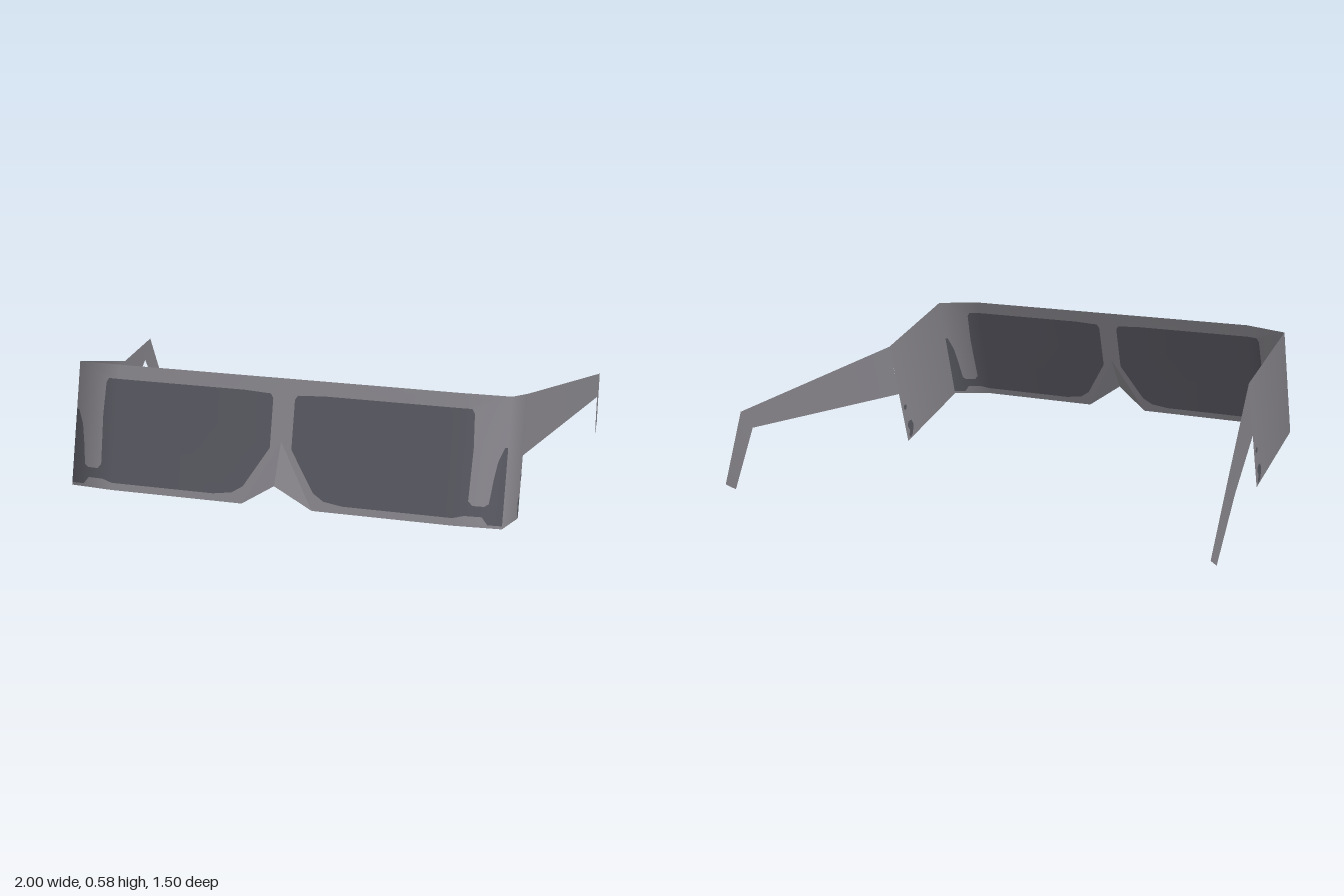
import * as THREE from 'three';

const V = (x, y, z) => new THREE.Vector3(x, y, z);
const card = new THREE.MeshStandardMaterial({ color: 0x858389, side: THREE.DoubleSide });
card.name = 'grey card';
const tint = new THREE.MeshStandardMaterial({ color: 0x56565f, side: THREE.DoubleSide });
tint.name = 'dark lens film';

// Paper-thin sheet: a flat counter-clockwise outline, placed in space and given normals by rules
function sheet(name, material, outline, place, normalAt, side) {
  const contour = outline.map(([a, b]) => new THREE.Vector2(a, b));
  const faces = THREE.ShapeUtils.triangulateShape(contour, []);
  const pos = [], nor = [];
  for (const [a, b] of outline) {
    const p = place(a, b), n = normalAt(a, b).normalize();
    pos.push(side * p.x, p.y, p.z);
    nor.push(side * n.x, n.y, n.z);
  }
  const g = new THREE.BufferGeometry();
  g.setAttribute('position', new THREE.Float32BufferAttribute(pos, 3));
  g.setAttribute('normal', new THREE.Float32BufferAttribute(nor, 3));
  g.setIndex(faces.flatMap(([i, j, k]) => (side > 0 ? [i, j, k] : [i, k, j])));
  const mesh = new THREE.Mesh(g, material);
  mesh.name = name;
  return mesh;
}

// Leaning front, whose outer ends fold back
const FOLD = 0.63, HALF = 0.8;
const wingT = (x) => Math.max(0, (x - FOLD) / (HALF - FOLD));
const frontPlace = (x, y) =>
  V(x, y - 0.01 * wingT(x), 0.595 + (0.58 - y) * 0.295 - 0.035 * wingT(x));
const cornerNormal = V(0.74, 0.2, 0.7).normalize();
const frontNormal = (x) =>
  V(x < FOLD ? 0 : 0.06, 0.283, 0.96).normalize().lerp(cornerNormal, wingT(x));

// Side panel and arm are drawn as (-z, y)
const panelPlace = (a, y) => V(HALF, y, -a);
const panelNormal = (a, y) => {
  const front = -0.56 - (0.57 - y) * 0.295, rear = -0.14 - (0.445 - y) * 0.303;
  const t = THREE.MathUtils.clamp((a - front) / (rear - front), 0, 1);
  return cornerNormal.clone().lerp(V(0.99, 0, 0.12), t);
};
const armPlace = (a, y) => {
  const foldA = -0.14 - (0.445 - y) * 0.303;
  if (a > 0.65) return V(0.99, y, -a);
  return V(a > 0.5 ? 1 : HALF, y, a > 0.5 ? -a : -foldA);
};
const armNormal = (a) => (a > 0.65 ? V(1, 0, -0.08) : V(0.97, 0, a > 0.5 ? 0.15 : 0.2));

// Inner lens edge, from the bottom of the fold up over the nose to the top
const lensInner = [
  [0.63, 0.165], [0.24, 0.165], [0.17, 0.175], [0.13, 0.2], [0.04, 0.34],
  [0.04, 0.51], [0.05, 0.525], [0.15, 0.53], [0.63, 0.53],
];
// Film edges on the folded end
const filmTop = [
  [0.63, 0.53], [0.67, 0.53], [0.68, 0.515], [0.685, 0.4], [0.68, 0.225], [0.695, 0.21],
  [0.735, 0.21], [0.75, 0.22], [0.76, 0.3], [0.77, 0.36], [0.79, 0.41], [0.8, 0.41],
];
const filmBottom = [
  [0.8, 0.15], [0.75, 0.15], [0.73, 0.175], [0.67, 0.175], [0.63, 0.165],
];

function half(side) {
  const g = new THREE.Group();
  g.name = side > 0 ? 'leftHalf' : 'rightHalf';
  const add = (name, mat, pts, place, normal) =>
    g.add(sheet(name, mat, pts, place, normal, side));

  // Front frame and lens
  add('frontFrame', card,
    [[0, 0.365], [0.13, 0.14], [0.63, 0.14], ...lensInner, [0.63, 0.58], [0, 0.58]],
    frontPlace, frontNormal);
  add('lens', tint, [...lensInner].reverse(), frontPlace, frontNormal);

  // Folded end of the front
  add('frameEndTop', card, [...filmTop, [0.8, 0.58], [0.63, 0.58]], frontPlace, frontNormal);
  add('frameEndBottom', card, [[0.63, 0.14], [0.8, 0.14], ...filmBottom], frontPlace, frontNormal);
  add('lensEnd', tint, [...filmBottom, ...filmTop].reverse(), frontPlace, frontNormal);

  // Nose fold, pushed forward along the centre line
  add('noseFold', card, [[0, 0.365], [0, 0.23], [0.13, 0.14]],
    (x, y) => (x === 0 && y < 0.3 ? V(0, 0.23, 0.75) : frontPlace(x, y)),
    () => V(0.2, 0.4, 0.9));

  // Side panel, arm and ear hook
  add('sidePanel', card, [[-0.56, 0.57], [-0.69, 0.13], [-0.275, 0], [-0.14, 0.445]],
    panelPlace, panelNormal);
  add('arm', card, [[-0.14, 0.445], [-0.207, 0.225], [0.555, 0.225], [0.625, 0.305]],
    armPlace, armNormal);
  add('earHook', card, [[0.625, 0.305], [0.555, 0.225], [0.69, 0.01], [0.75, 0.045]],
    armPlace, armNormal);

  // Small dark marks on both faces of the side panel
  const dot = [];
  for (let i = 0; i < 8; i++) {
    const t = (i / 8) * Math.PI * 2;
    dot.push([-0.253 + 0.012 * Math.cos(t), 0.157 + 0.012 * Math.sin(t)]);
  }
  const patch = [
    [-0.318, 0.07], [-0.313, 0.03], [-0.295, 0.012], [-0.283, 0.025], [-0.288, 0.05],
    [-0.272, 0.065], [-0.275, 0.088], [-0.3, 0.092],
  ];
  for (const off of [0.002, -0.002]) {
    const place = (a, y) => V(HALF + off, y, -a);
    add('panelDot', tint, dot, place, panelNormal);
    add('panelPatch', tint, patch, place, panelNormal);
  }
  return g;
}

export function createModel() {
  const model = new THREE.Group();
  model.name = 'cardGlasses';
  model.add(half(1), half(-1));
  return model;
}
